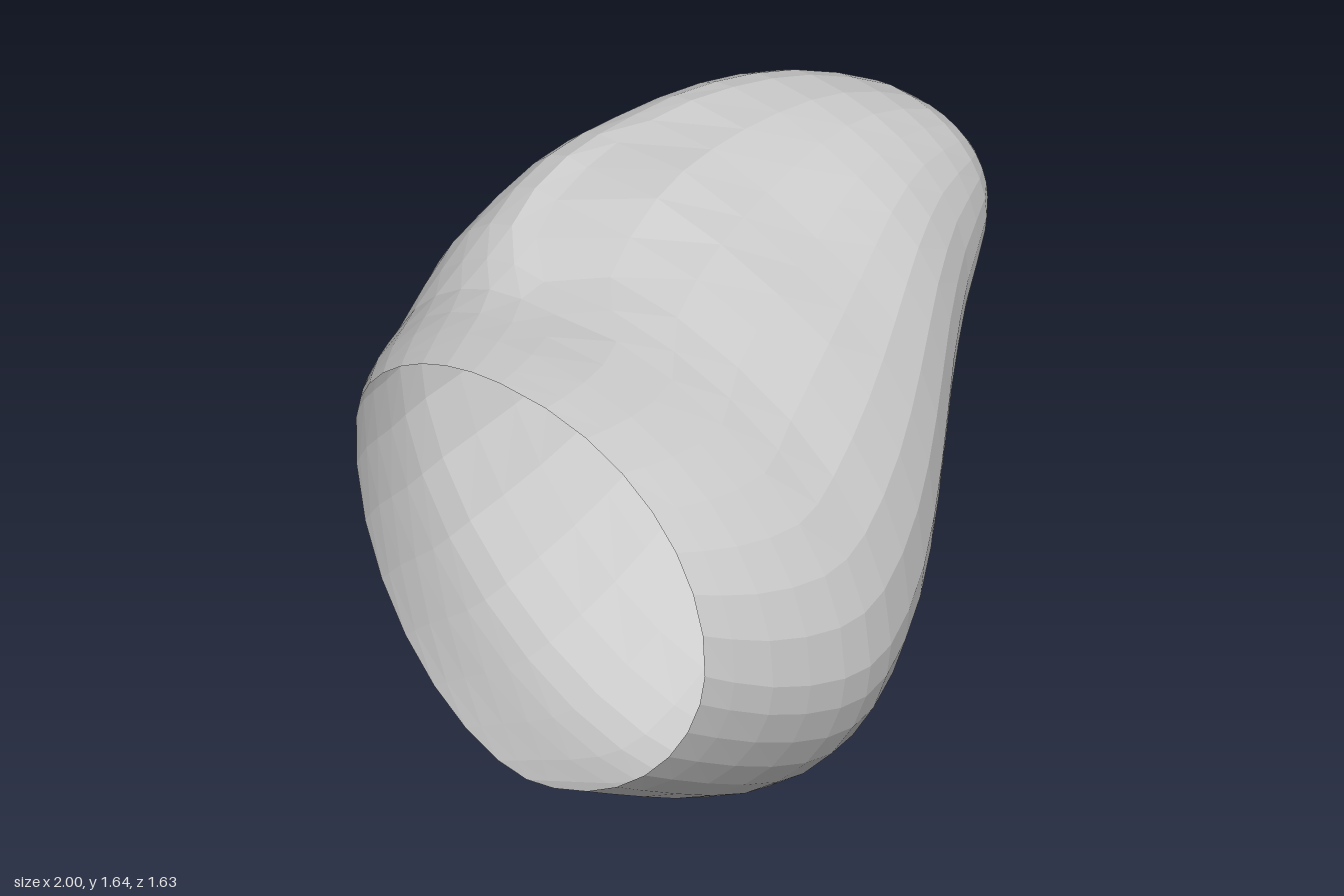
import * as THREE from 'three';

// Cross-sections along x: the outermost points of each loop, as
// x, top z, top y, front z, front y, bottom z, bottom y, back z, back y
const sections = [
  [-1.0, -0.1, 1.55, 0.66, 0.94, 0.06, 0.32, -0.56, 1.25],
  [-0.8, -0.12, 1.54, 0.75, 0.83, 0.08, 0.2, -0.67, 1.15],
  [-0.55, -0.2, 1.53, 0.81, 0.74, 0.1, 0.06, -0.77, 1.03],
  [-0.33, -0.42, 1.57, 0.8, 0.72, 0.1, 0.0, -0.82, 0.98],
  [-0.05, -0.46, 1.64, 0.7, 0.78, 0.08, 0.05, -0.78, 1.0],
  [0.2, -0.43, 1.645, 0.57, 0.92, 0.06, 0.17, -0.72, 1.05],
  [0.45, -0.34, 1.635, 0.42, 1.06, 0.03, 0.38, -0.63, 1.1],
  [0.67, -0.24, 1.59, 0.3, 1.14, 0.0, 0.62, -0.51, 1.13],
  [0.87, -0.12, 1.49, 0.21, 1.19, -0.03, 0.88, -0.34, 1.17],
  [0.96, -0.05, 1.38, 0.13, 1.22, -0.02, 1.06, -0.2, 1.22],
  [1.0, -0.01, 1.275, 0.02, 1.25, -0.01, 1.225, -0.04, 1.25],
];
const SIDES = 32;
const SPLIT = 2;

const bell = (d, w) => Math.exp(-(d * d) / (w * w));

// Smooth blend of the section values at station s
function sectionAt(s) {
  const last = sections.length - 1;
  const i = Math.min(Math.floor(s), last - 1);
  const t = s - i;
  const p = sections[Math.max(i - 1, 0)], a = sections[i];
  const b = sections[i + 1], n = sections[Math.min(i + 2, last)];
  return a.map((v, k) => {
    const m0 = (b[k] - p[k]) / 2, m1 = (n[k] - v) / 2;
    const t2 = t * t, t3 = t2 * t;
    return v * (2 * t3 - 3 * t2 + 1) + m0 * (t3 - 2 * t2 + t)
      + b[k] * (3 * t2 - 2 * t3) + m1 * (t3 - t2);
  });
}

// Point on a loop: four rounded quarters joining the outermost points
function shellPoint(s, angle) {
  const [x, topZ, topY, frontZ, frontY, botZ, botY, backZ, backY] = sectionAt(s);
  const c = Math.cos(angle), n = Math.sin(angle);
  const [midZ, endY] = n >= 0 ? [topZ, topY] : [botZ, botY];
  const [sideZ, sideY] = c >= 0 ? [frontZ, frontY] : [backZ, backY];
  const e = n >= 0 ? 0.96 : 1.13;
  const z = midZ + (sideZ - midZ) * Math.abs(c) ** e;
  let y = sideY + (endY - sideY) * Math.abs(n) ** e;

  // Groove and shallow hollow across the top
  if (n > 0) {
    const grooveZ = -0.4 - 0.32 * x;
    y -= n * 0.06 * bell(z - grooveZ, 0.13) * bell(x + 0.2, 0.35);
    y -= n * 0.05 * bell(z - 0.15, 0.25) * bell(x - 0.15, 0.35);
  }
  // The mouth leans inwards at its upper edge
  const lean = Math.max(0, 1 - (x + 1) / 0.6);
  const height = Math.max(0, (y - 0.32) / 1.23);
  return [x + 0.09 * lean * height ** 2.5, y, z];
}

function shellGeometry() {
  const rings = (sections.length - 1) * SPLIT;
  const positions = [], index = [];
  for (let r = 0; r <= rings; r++) {
    for (let j = 0; j < SIDES; j++) {
      positions.push(...shellPoint(r / SPLIT, (j / SIDES) * Math.PI * 2));
    }
  }
  for (let r = 0; r < rings; r++) {
    for (let j = 0; j < SIDES; j++) {
      const a = r * SIDES + j, b = r * SIDES + ((j + 1) % SIDES);
      index.push(a, a + SIDES, b, b, a + SIDES, b + SIDES);
    }
  }
  const geometry = new THREE.BufferGeometry();
  geometry.setAttribute('position', new THREE.Float32BufferAttribute(positions, 3));
  geometry.setIndex(index);
  geometry.computeVertexNormals();
  return geometry;
}

export function createModel() {
  const group = new THREE.Group();
  group.name = 'openShell';

  // Hollow body, open at the mouth and with a pinhole at the tip
  const shell = new THREE.Mesh(shellGeometry(), new THREE.MeshStandardMaterial({
    color: 0xcccccc, flatShading: true, side: THREE.DoubleSide,
  }));
  shell.name = 'shell';
  group.add(shell);
  return group;
}
